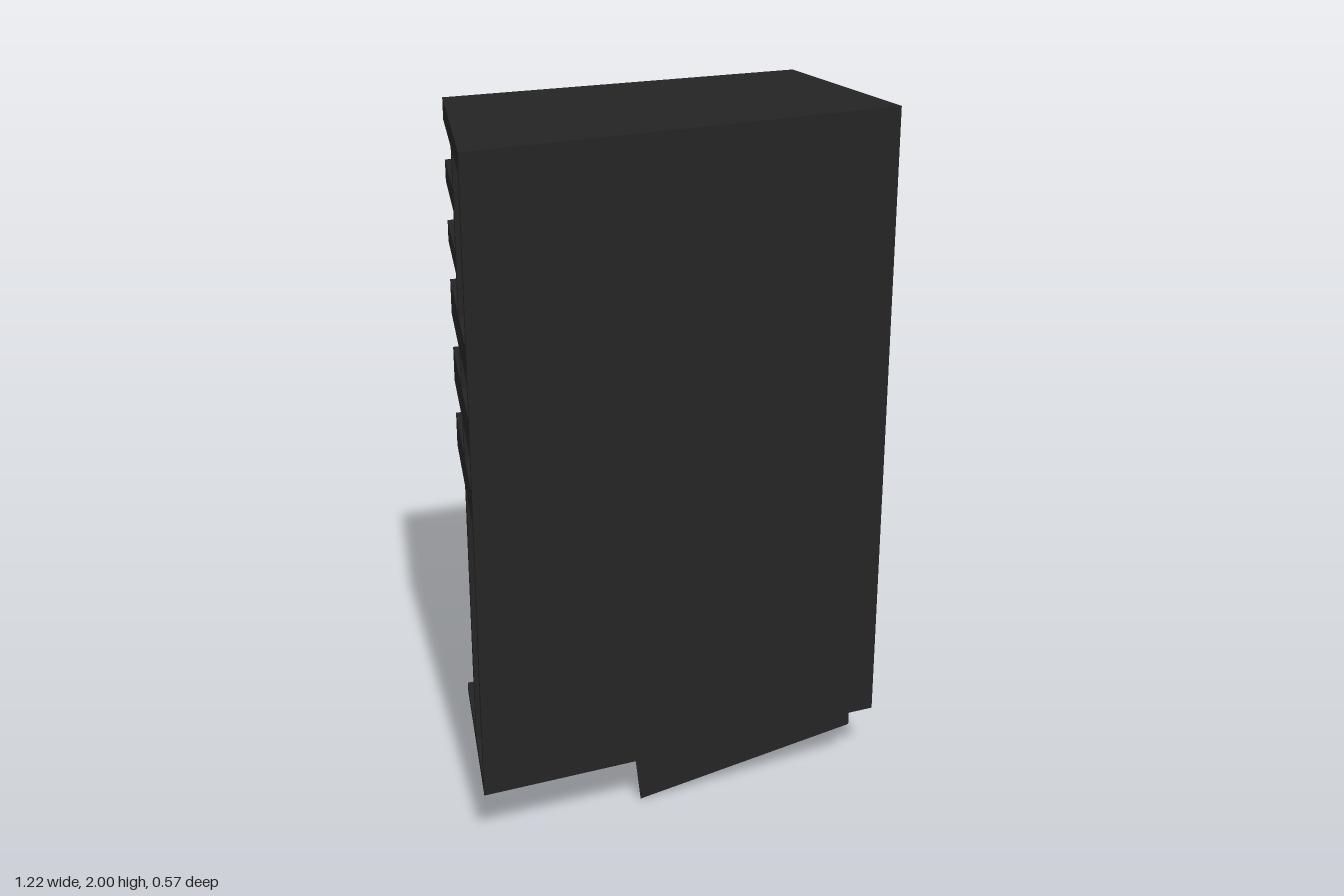
import * as THREE from 'three';

const dark = new THREE.MeshStandardMaterial({ color: 0x242424 });
const grey = new THREE.MeshStandardMaterial({ color: 0x686868 });
const BACK = -0.285;

// the two tapering sides: outer x at depth z, and the depths of their posts
const sides = [
  { name: 'left', s: 1, x: z => 0.505 + 0.202 * (z - BACK), front: 0.19, mid: [-0.05, -0.015] },
  { name: 'right', s: -1, x: z => 0.51 + 0.176 * (z - BACK), front: 0.25, mid: [0, 0.035] },
];
const INNER_BACK = 0.465, INNER_FRONT = 0.51;

export function createModel() {
  const root = new THREE.Group();

  function add(name, geometry, material = dark) {
    const mesh = new THREE.Mesh(geometry, material);
    mesh.name = name;
    root.add(mesh);
    return mesh;
  }
  function box(name, x0, x1, y0, y1, z0, z1, material) {
    const g = new THREE.BoxGeometry(Math.abs(x1 - x0), y1 - y0, z1 - z0);
    add(name, g.translate((x0 + x1) / 2, (y0 + y1) / 2, (z0 + z1) / 2), material);
  }
  // upright prism over a plan outline of [x, z] points
  function prism(name, plan, y0, y1) {
    const shape = new THREE.Shape(plan.map(([x, z]) => new THREE.Vector2(x, -z)));
    const g = new THREE.ExtrudeGeometry(shape, { depth: y1 - y0, bevelEnabled: false });
    add(name, g.rotateX(-Math.PI / 2).translate(0, y0, 0));
  }

  // inner body and front slab
  box('innerBody', -INNER_BACK, INNER_BACK, 0.19, 1.98, -0.278, 0.2);
  prism('frontSlab', [
    [-sides[1].x(0.25), 0.25], [-0.61, 0.283], [0.605, 0.21], [sides[0].x(0.19), 0.19],
  ], 0.175, 2);

  // full-depth rails that wrap around the body
  const fullRails = [[0.175, 0.205], [0.99, 1.09], [1.19, 1.29], [1.39, 1.49], [1.94, 2]];
  for (const [y0, y1] of [fullRails[0], fullRails[4]]) {
    prism('endPlate', [[-0.51, BACK], [0.505, BACK], [0.605, 0.21], [-0.61, 0.283]], y0, y1);
  }

  for (const { name, s, x, front, mid } of sides) {
    const strip = (part, inner, z0, z1, y0, y1) => prism(name + part,
      [[s * inner, z0], [s * x(z0), z0], [s * x(z1), z1], [s * inner, z1]], y0, y1);

    // side rails, shelves and middle post
    for (const [y0, y1] of fullRails.slice(1, 4)) strip('SideRail', 0.44, BACK, front, y0, y1);
    for (const [y0, y1] of [[1.6, 1.66], [1.77, 1.83]]) strip('Shelf', 0.44, BACK, mid[0], y0, y1);
    strip('MiddlePost', 0.44, mid[0], mid[1], 0.2, 1.95);

    // shallower recess wall of the front column, with slats
    box(name + 'FrontRecess', s * 0.44, s * INNER_FRONT, 0.2, 1.95, mid[1] - 0.01, front + 0.005);
    for (const [y0, y1] of [[0.205, 0.99], [1.49, 1.94]]) {
      for (let y = y0 + 0.09; y < y1 - 0.04; y += 0.112) {
        box(name + 'Slat', s * 0.5, s * 0.518, y, y + 0.012, mid[1], front);
      }
    }

    // two vent grids in the lower back column
    for (const base of [0.25, 0.61]) {
      for (let row = 0; row < 9; row++) {
        for (let col = 0; col < 3; col++) {
          const z = BACK + 0.055 + col * 0.058;
          box(name + 'VentBar', s * 0.46, s * 0.473, base + row * 0.037, base + row * 0.037 + 0.018, z, z + 0.042);
        }
      }
    }
  }

  // back panels with a fine seam, and a latch beside the upper one
  box('lowerBackPanel', -0.437, 0.437, 0.205, 1.038, -0.283, -0.275, grey);
  box('upperBackPanel', -0.437, 0.437, 1.042, 1.94, -0.283, -0.275, grey);
  box('latch', 0.415, 0.432, 1.25, 1.41, -0.288, -0.28);

  // sloping foot in stepped blocks: each end is [z, low x, low y]
  const footRight = z => 0.54 - 0.17 * (0.19 - z);
  function foot(frontEnd, backEnd, flare) {
    const g = new THREE.BoxGeometry(1, 1, 1);
    const p = g.attributes.position;
    for (let i = 0; i < p.count; i++) {
      const [z, lowX, lowY] = p.getZ(i) > 0 ? frontEnd : backEnd;
      const top = p.getY(i) > 0;
      if (p.getX(i) > 0) p.setXYZ(i, footRight(z), top ? 0.18 : 0.12, z);
      else p.setXYZ(i, lowX - (top ? flare : 0), top ? 0.18 : lowY, z);
    }
    g.computeVertexNormals();
    add('foot', g);
  }
  foot([0.19, -0.12, 0], [-0.065, -0.01, 0.022], 0.02);
  foot([-0.065, 0.2, 0.062], [-0.185, 0.26, 0.073], 0);
  foot([-0.185, 0.29, 0.083], [-0.283, 0.33, 0.092], 0);
  box('footBlock', -0.06, 0.27, 0.12, 0.18, -0.28, -0.19);

  return root;
}
